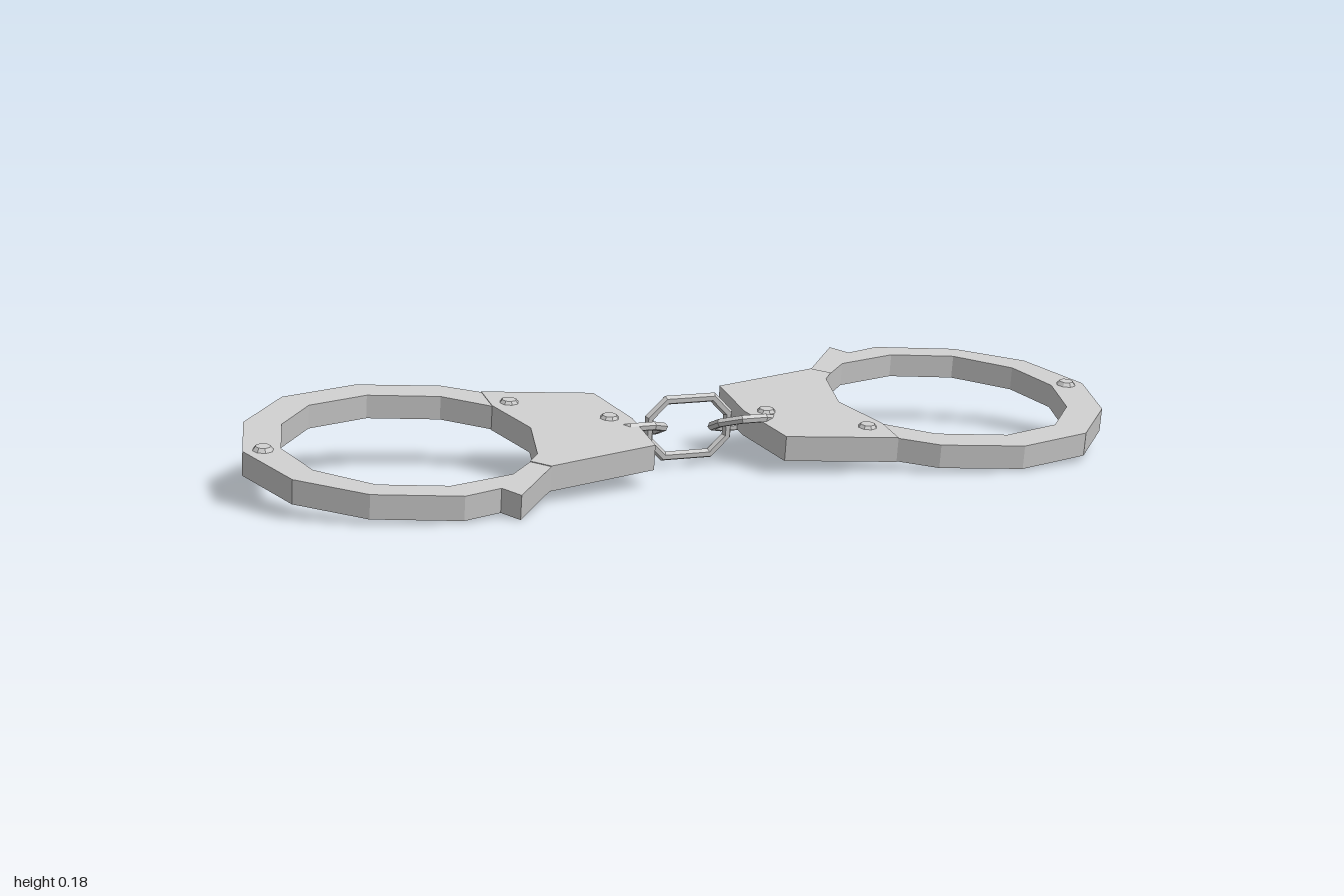
import * as THREE from 'three';

const material = new THREE.MeshStandardMaterial({ color: 0xcccccc, flatShading: true, side: THREE.DoubleSide });
const TILT = THREE.MathUtils.degToRad(10);

// Flat plate in the xz plane, centred on y = 0, from [x, z] corners
function plate(name, corners, thickness) {
  const shape = new THREE.Shape(corners.map(([x, z]) => new THREE.Vector2(x, -z)));
  const geometry = new THREE.ExtrudeGeometry(shape, { depth: thickness, bevelEnabled: false });
  geometry.translate(0, 0, -thickness / 2).rotateX(-Math.PI / 2);
  const mesh = new THREE.Mesh(geometry, material);
  mesh.name = name;
  return mesh;
}

// Eight-sided chain link in the xy plane, lengthened along x by moving its halves apart
function chainLink(name, radius, wire, stretch) {
  const geometry = new THREE.TorusGeometry(radius, wire, 6, 8).rotateZ(Math.PI / 8);
  const p = geometry.attributes.position;
  for (let i = 0; i < p.count; i++) p.setX(i, p.getX(i) + Math.sign(p.getX(i)) * stretch);
  const mesh = new THREE.Mesh(geometry, material);
  mesh.name = name;
  return mesh;
}

// One cuff: lock body, swinging arm with its tooth, and rivets through both
function createCuff(name) {
  const cuff = new THREE.Group();
  cuff.name = name;

  cuff.add(plate('lockBody', [
    [0.147, -0.181], [0.404, -0.254], [0.438, -0.218], [0.409, -0.179], [0.372, -0.026],
    [0.409, 0.124], [0.404, 0.217], [0.163, 0.161], [0.136, -0.013],
  ], 0.056));

  const outer = [
    [0.404, -0.254], [0.516, -0.396], [0.543, -0.35], [0.628, -0.377], [0.81, -0.329],
    [0.939, -0.217], [0.998, -0.04], [0.955, 0.131], [0.837, 0.27], [0.66, 0.318],
    [0.479, 0.275], [0.404, 0.217],
  ];
  const inner = [
    [0.409, 0.124], [0.5, 0.206], [0.655, 0.245], [0.794, 0.206], [0.88, 0.102], [0.917, -0.04],
    [0.885, -0.173], [0.783, -0.278], [0.639, -0.316], [0.495, -0.278], [0.438, -0.218],
  ];
  cuff.add(plate('cuffArm', [...outer, ...inner], 0.053));

  for (const [x, z] of [[0.955, -0.04], [0.366, 0.138], [0.184, 0]]) {
    for (const side of [1, -1]) {
      const rivet = new THREE.Mesh(new THREE.CylinderGeometry(0.016, 0.025, 0.012, 8), material);
      rivet.name = 'rivet';
      rivet.position.set(x, side * 0.029, z);
      if (side < 0) rivet.rotation.x = Math.PI;
      cuff.add(rivet);
    }
  }
  return cuff;
}

export function createModel() {
  const model = new THREE.Group();
  model.name = 'handcuffs';

  // The two cuffs are half-turn copies of each other, both leaning forward
  for (const [name, y, turn] of [['leftCuff', 0.09, 0], ['rightCuff', 0.1, Math.PI]]) {
    const holder = new THREE.Group();
    holder.name = name + 'Holder';
    holder.position.y = y;
    holder.rotation.x = TILT;
    const cuff = createCuff(name);
    cuff.rotation.y = turn;
    holder.add(cuff);
    model.add(holder);
  }

  // Upright middle link
  const middle = chainLink('middleLink', 0.07, 0.011, 0.027);
  middle.position.y = 0.095;
  middle.rotation.x = TILT;
  model.add(middle);

  // Lying links joining the chain to each cuff
  for (const side of [1, -1]) {
    const link = chainLink(side > 0 ? 'leftLink' : 'rightLink', 0.068, 0.01, 0);
    link.position.set(side * 0.13, 0.095, 0);
    link.rotation.x = Math.PI / 2 - 0.3;
    model.add(link);
  }
  return model;
}
